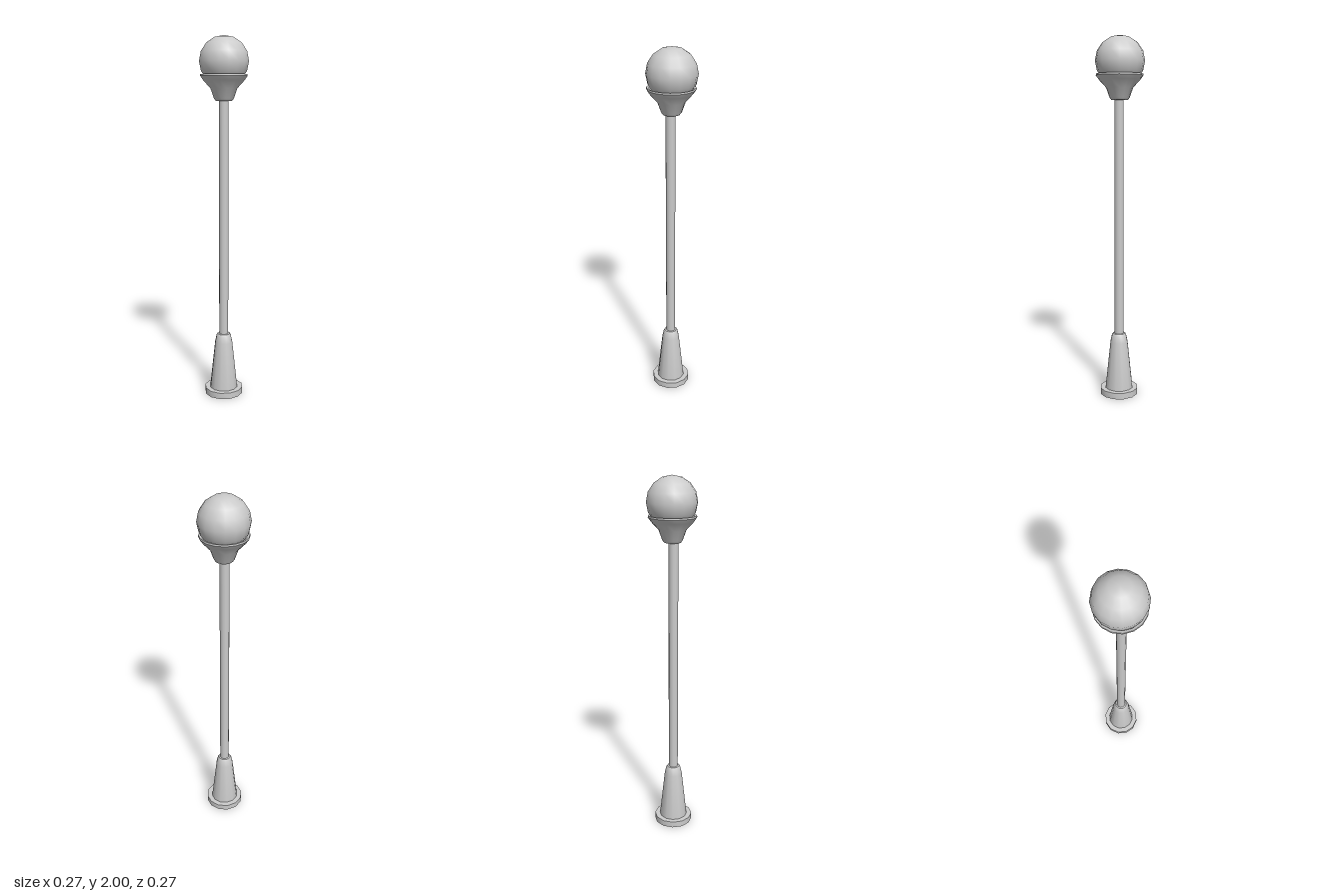
import * as THREE from 'three';
import { toCreasedNormals } from 'three/addons/utils/BufferGeometryUtils.js';

export function createModel() {
  const group = new THREE.Group();
  const material = new THREE.MeshStandardMaterial({ color: 0xcccccc });
  const open = new THREE.MeshStandardMaterial({ color: 0xcccccc, side: THREE.DoubleSide });

  const add = (name, geometry, y = 0, z = 0, mat = material) => {
    const mesh = new THREE.Mesh(geometry, mat);
    mesh.name = name;
    mesh.position.set(0, y, z);
    group.add(mesh);
  };
  // Turned part from [radius, height] pairs, listed upwards along the outside
  const turned = (profile, sides) => toCreasedNormals(
    new THREE.LatheGeometry(profile.map(([r, y]) => new THREE.Vector2(r, y)), sides), 0.6);

  const poleZ = 0.008; // the post stands slightly forward of the globe

  // Foot ring, hollow underneath
  add('footRing', turned([[0.078, 0], [0.108, 0], [0.108, 0.035], [0.078, 0.035]], 12), 0, poleZ, open);
  // Tapered pedestal with a rounded shoulder, open below
  add('pedestal', turned([[0.08, 0.0], [0.079, 0.035], [0.05, 0.305], [0.041, 0.345], [0.035, 0.354], [0.024, 0.356]], 12), 0, poleZ, open);
  // Post
  add('post', new THREE.CylinderGeometry(0.026, 0.026, 1.36, 12), 1.02, poleZ);
  // Flared cup with a thin lip and a hollow inside
  add('lampCup', turned([
    [0.001, 1.66], [0.045, 1.66], [0.054, 1.672], [0.073, 1.725], [0.112, 1.767],
    [0.128, 1.79], [0.127, 1.799], [0.115, 1.795], [0.085, 1.755], [0.001, 1.74],
  ], 16), 0, 0.003, open);
  // Globe
  add('globe', new THREE.SphereGeometry(0.134, 16, 8), 1.866);

  return group;
}
